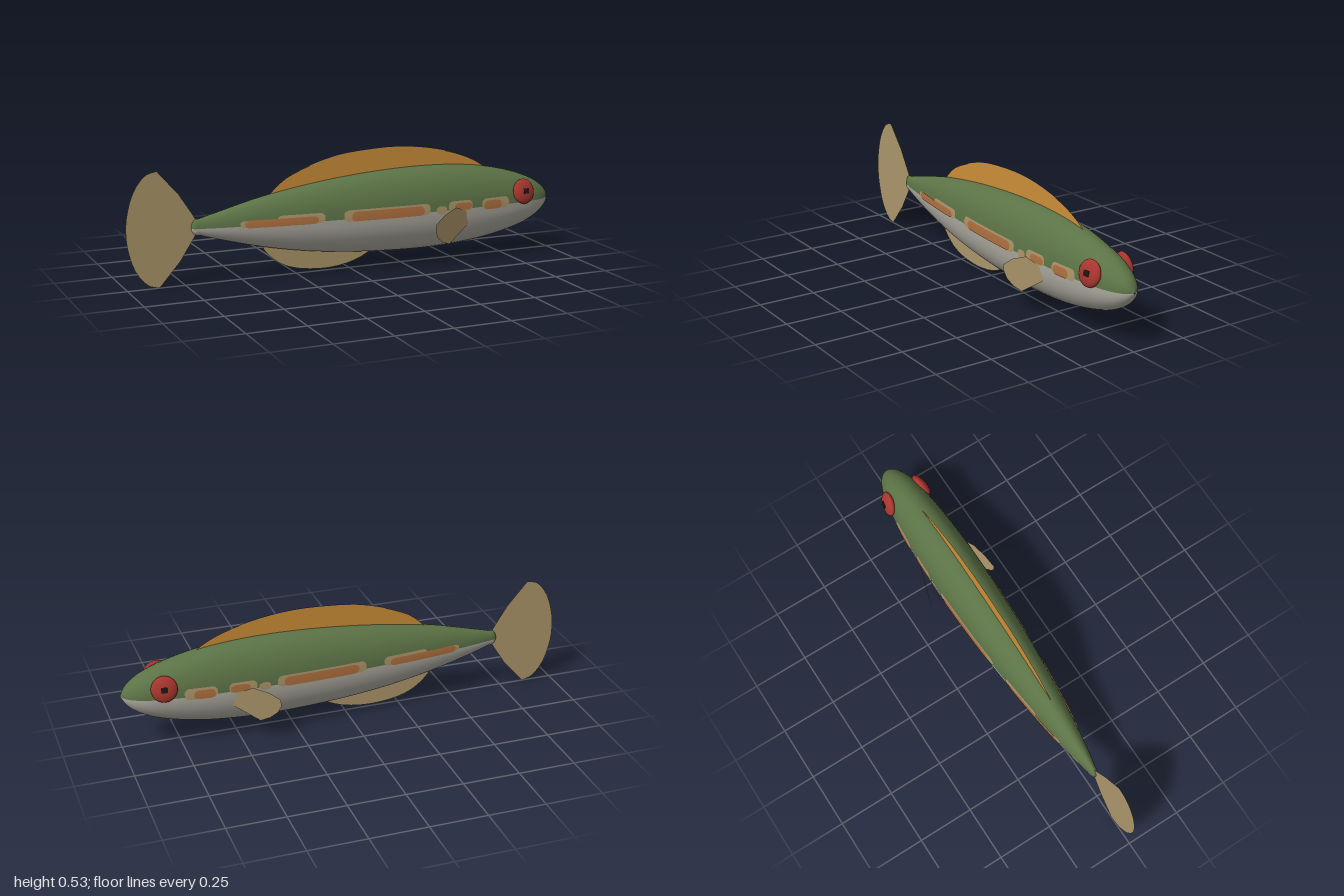
import * as THREE from 'three';

const mat = (name, color, side = THREE.FrontSide) => {
  const m = new THREE.MeshStandardMaterial({ color, side });
  m.name = name;
  return m;
};

// Body stations along x: top height, bottom height, half width
const stations = [
  [-0.72, 0.25, 0.24, 0.003], [-0.712, 0.272, 0.222, 0.012], [-0.68, 0.284, 0.211, 0.02],
  [-0.6, 0.305, 0.187, 0.036], [-0.4, 0.355, 0.135, 0.066], [-0.2, 0.39, 0.098, 0.087],
  [0, 0.414, 0.075, 0.102], [0.2, 0.428, 0.063, 0.111], [0.36, 0.431, 0.06, 0.114],
  [0.5, 0.426, 0.065, 0.112], [0.65, 0.409, 0.08, 0.105], [0.8, 0.374, 0.112, 0.091],
  [0.88, 0.345, 0.14, 0.077], [0.94, 0.311, 0.175, 0.055], [0.975, 0.278, 0.21, 0.03],
  [0.993, 0.246, 0.242, 0.003],
];
const profile = new THREE.CubicInterpolant(
  stations.map((s) => s[0]), stations.flatMap((s) => s.slice(1)), 3, new Float32Array(3));
const MID = 0.243;

// Point on the body at station x and angle a (0 is the +z flank, up to the back)
function bodyPoint(x, a) {
  const [top, bottom, half] = profile.evaluate(x);
  const s = Math.sin(a);
  return [x, MID + s * (s > 0 ? top - MID : MID - bottom), half * Math.cos(a)];
}

function gridGeometry(rows, cols, point) {
  const pos = [];
  for (let i = 0; i <= rows; i++) for (let j = 0; j <= cols; j++) pos.push(...point(i, j));
  const g = new THREE.BufferGeometry();
  g.setAttribute('position', new THREE.Float32BufferAttribute(pos, 3));
  const quads = (j0, j1) => {
    const idx = [];
    for (let i = 0; i < rows; i++) for (let j = j0; j < j1; j++) {
      const a = i * (cols + 1) + j, b = a + cols + 1;
      idx.push(a, b, b + 1, a, b + 1, a + 1);
    }
    return idx;
  };
  return { g, quads };
}

// Full body loft: first half of each ring is the back, second half the belly
function bodyGeometry() {
  const xs = [];
  stations.slice(0, -1).forEach((s, i) => {
    for (let k = 0; k < 4; k++) xs.push(THREE.MathUtils.lerp(s[0], stations[i + 1][0], k / 4));
  });
  xs.push(stations.at(-1)[0]);
  const n = 32;
  const { g, quads } = gridGeometry(xs.length - 1, n, (i, j) => bodyPoint(xs[i], (j / n) * Math.PI * 2));
  const back = quads(0, n / 2), belly = quads(n / 2, n);
  g.setIndex([...back, ...belly]);
  g.addGroup(0, back.length, 0);
  g.addGroup(back.length, belly.length, 1);
  g.computeVertexNormals();
  return g;
}

// Thin round-ended marking that follows the flank
function markingGeometry(x0, x1, y0, y1, lift, side) {
  const rows = 20, cols = 3;
  const { g, quads } = gridGeometry(rows, cols, (i, j) => {
    const t = -Math.cos((i / rows) * Math.PI);
    const x = (x0 + x1) / 2 + t * (x1 - x0) / 2;
    const end = Math.min(1, (1 - Math.abs(t)) * (x1 - x0) / 2 / 0.015);
    const h = (y1 - y0) / 2 * (0.25 + 0.75 * Math.sqrt(end));
    const y = (y0 + y1) / 2 + h * (j / cols * 2 - 1);
    const [top, bottom] = profile.evaluate(x);
    const s = (y - MID) / (y > MID ? top - MID : MID - bottom);
    const p = bodyPoint(x, Math.asin(THREE.MathUtils.clamp(s, -0.98, 0.98)));
    return [x, p[1], side * (p[2] + lift)];
  });
  g.setIndex(quads(0, cols));
  if (side < 0) g.index.array.reverse();
  g.computeVertexNormals();
  return g;
}

const finGeometry = (points) =>
  new THREE.ShapeGeometry(new THREE.Shape(points.map((p) => new THREE.Vector2(...p))));

// Smooth outline through a few points
const smooth = (points, n = 28) =>
  new THREE.SplineCurve(points.map((p) => new THREE.Vector2(...p))).getPoints(n).map((p) => [p.x, p.y]);

export function createModel() {
  const D = THREE.DoubleSide;
  const green = mat('backGreen', 0x5c7346);
  const pale = mat('bellyGrey', 0xb0ada2);
  const tan = mat('finTan', 0xac966a, D);
  const amber = mat('dorsalAmber', 0xce9038, D);
  const rust = mat('stripeRust', 0xb0703f, D);
  const blue = mat('finEdgeBlue', 0x4a5496, D);
  const red = mat('eyeRed', 0xa8362e);
  const black = mat('pupilBlack', 0x1c1614);

  const model = new THREE.Group();
  model.name = 'fish';
  const add = (name, geometry, material, parent = model) => {
    const m = new THREE.Mesh(geometry, material);
    m.name = name;
    parent.add(m);
    return m;
  };

  add('body', bodyGeometry(), [green, pale]);

  // Dorsal fin and its thin coloured rim
  const crest = smooth([[-0.37, 0.36], [-0.3, 0.42], [-0.2, 0.465], [-0.1, 0.496], [0, 0.514],
    [0.18, 0.525], [0.32, 0.517], [0.45, 0.494], [0.55, 0.464], [0.62, 0.432], [0.67, 0.4]]);
  add('dorsalFin', finGeometry([...crest, [0.6, 0.36], [-0.3, 0.33]]), amber);
  const rim = crest.filter(([x]) => x > -0.22 && x < 0.5);
  add('dorsalRim', finGeometry([...rim, ...rim.map(([x, y]) => [x, y + 0.003]).reverse()]), blue);

  // Anal fin
  const keel = smooth([[-0.41, 0.15], [-0.385, 0.105], [-0.32, 0.052], [-0.24, 0.023],
    [-0.13, 0.011], [-0.03, 0.019], [0.05, 0.042], [0.11, 0.075]]);
  add('analFin', finGeometry([...keel, [0.05, 0.13], [-0.3, 0.19]]), tan);

  // Tail fin
  const tailEdge = smooth([[-0.862, 0.498], [-0.915, 0.482], [-0.965, 0.415], [-0.993, 0.325], [-1, 0.25],
    [-0.993, 0.175], [-0.965, 0.085], [-0.915, 0.02], [-0.862, 0.002]], 20);
  add('tailFin', finGeometry([[-0.69, 0.265], [-0.71, 0.3], [-0.77, 0.393], ...tailEdge,
    [-0.77, 0.107], [-0.71, 0.2], [-0.69, 0.23]]), tan);

  // Flank markings: x range and y range
  const tanMarks = [[-0.52, -0.47, 0.237, 0.266], [-0.36, -0.15, 0.237, 0.28], [-0.065, 0.34, 0.232, 0.282],
    [0.37, 0.42, 0.23, 0.265], [0.43, 0.55, 0.235, 0.282], [0.6, 0.74, 0.23, 0.28]];
  const rustMarks = [[-0.5, -0.18, 0.235, 0.268], [-0.03, 0.31, 0.232, 0.274],
    [0.46, 0.545, 0.24, 0.272], [0.61, 0.7, 0.23, 0.27]];

  for (const side of [1, -1]) {
    const label = side > 0 ? 'left' : 'right';
    tanMarks.forEach((r) => add(label + 'TanMarking', markingGeometry(...r, 0.002, side), tan));
    rustMarks.forEach((r) => add(label + 'RustStripe', markingGeometry(...r, 0.004, side), rust));

    // Pectoral fin, swept outwards and back
    const pectoral = finGeometry([[0.54, 0.175], [0.425, 0.095], [0.385, 0.11], [0.355, 0.135],
      [0.341, 0.165], [0.343, 0.197], [0.39, 0.233], [0.455, 0.258], [0.515, 0.235]]);
    const p = pectoral.attributes.position;
    for (let i = 0; i < p.count; i++) {
      p.setZ(i, side * (0.165 - 0.333 * (p.getX(i) - 0.345) + 0.073 * (p.getY(i) - 0.17)));
    }
    pectoral.computeVertexNormals();
    add(label + 'PectoralFin', pectoral, tan);

    // Eye with a small square pupil
    const eye = new THREE.Group();
    eye.name = label + 'Eye';
    eye.position.set(0.822, 0.292, side * 0.087);
    eye.rotation.set(side * -0.23, side * 0.15, 0);
    add('eyeball', new THREE.SphereGeometry(1, 24, 16).scale(0.056, 0.057, 0.022), red, eye);
    add('pupil', new THREE.BoxGeometry(0.028, 0.024, 0.005), black, eye).position.z = side * 0.0205;
    model.add(eye);
  }
  return model;
}
